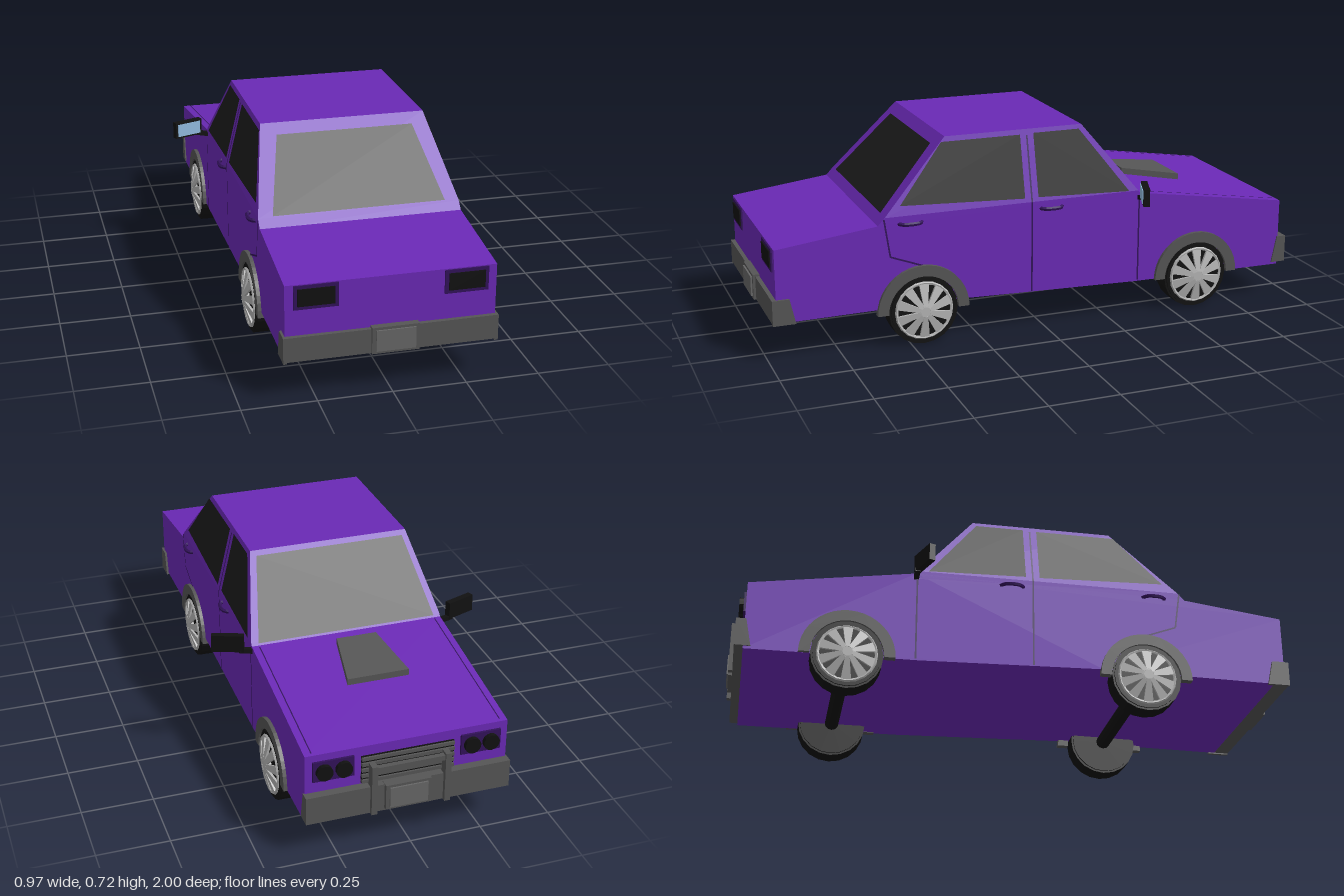
import * as THREE from 'three';

const mat = (color) => new THREE.MeshStandardMaterial({ color, flatShading: true, side: THREE.DoubleSide });

export function createModel() {
  const car = new THREE.Group();
  car.name = 'car';
  const paint = mat(0x6a29b5), seam = mat(0x32125a), glass = mat(0x1c1c1c), grey = mat(0x555555);
  const lightGrey = mat(0x666666), black = mat(0x111111), metal = mat(0xb4b4b4), mirrorBlue = mat(0x8fb8dc);

  const add = (name, geometry, material, parent = car) => {
    const mesh = new THREE.Mesh(geometry, material);
    mesh.name = name;
    parent.add(mesh);
    return mesh;
  };
  // Box given by its limits
  const box = (name, m, x0, x1, y0, y1, z0, z1, parent = car) => {
    const b = add(name, new THREE.BoxGeometry(x1 - x0, y1 - y0, z1 - z0), m, parent);
    b.position.set((x0 + x1) / 2, (y0 + y1) / 2, (z0 + z1) / 2);
    return b;
  };
  // Side profile in (z, y), extruded across x
  const across = (shape, x0, x1) => new THREE.ExtrudeGeometry(shape, { depth: x1 - x0, bevelEnabled: false, curveSegments: 10 })
    .rotateY(-Math.PI / 2).translate(x1, 0, 0);
  const profile = (pts) => new THREE.Shape(pts.map(([z, y]) => new THREE.Vector2(z, y)));
  // Flat four-cornered panel
  const panel = (name, m, pts) => {
    const g = new THREE.BufferGeometry();
    g.setAttribute('position', new THREE.Float32BufferAttribute(pts.flat(), 3));
    g.setIndex([0, 1, 2, 0, 2, 3]);
    g.computeVertexNormals();
    return add(name, g, m);
  };
  // Stack of rectangles [y, halfWidth, zFront, zRear] joined into a closed solid
  const stack = (sections) => {
    const pos = sections.flatMap(([y, w, f, r]) => [-w, y, r, w, y, r, w, y, f, -w, y, f]);
    const idx = [0, 2, 1, 0, 3, 2];
    for (let s = 0; s < sections.length - 1; s++)
      for (let i = 0; i < 4; i++) {
        const a = s * 4 + i, b = s * 4 + (i + 1) % 4;
        idx.push(a, b, b + 4, a, b + 4, a + 4);
      }
    const t = (sections.length - 1) * 4;
    idx.push(t, t + 1, t + 2, t, t + 2, t + 3);
    const g = new THREE.BufferGeometry();
    g.setAttribute('position', new THREE.Float32BufferAttribute(pos, 3));
    g.setIndex(idx);
    g.computeVertexNormals();
    return g;
  };

  // Slopes of the cabin faces by height
  const sideX = (y) => 0.35 - (y - 0.47) * 0.24;
  const frontZ = (y) => -0.37 + (y - 0.46) * 0.21 / 0.26;
  const rearZ = (y) => 0.61 - (y - 0.445) * 0.26 / 0.275;
  const hoodY = (z) => 0.46 + (z + 0.37) * 0.09 / 0.58;

  // Lower body and cabin
  add('body', across(profile([[0.97, 0.14], [0.97, 0.40], [0.60, 0.445], [-0.37, 0.46], [-0.95, 0.37],
    [-0.95, 0.12], [-0.35, 0.125], [0.3, 0.145]]), -0.35, 0.35), paint);
  add('cabin', stack([0.44, 0.47, 0.72].map((y) => [y, Math.min(0.35, sideX(y)), frontZ(y), rearZ(y)])), paint);

  // Front and rear glass
  const screen = (name, zAt, off, y0, w0, y1, w1) => panel(name, glass, [
    [-w0, y0, zAt(y0) + off], [w0, y0, zAt(y0) + off], [w1, y1, zAt(y1) + off], [-w1, y1, zAt(y1) + off]]);
  screen('windshield', frontZ, -0.005, 0.468, 0.325, 0.706, 0.272);
  screen('rearWindow', rearZ, 0.005, 0.475, 0.30, 0.688, 0.24);

  // Hood scoop, wider and lower at the nose
  const scoop = add('hoodScoop', new THREE.BoxGeometry(2, 1, 1), grey);
  const sp = scoop.geometry.attributes.position;
  for (let i = 0; i < sp.count; i++) {
    const nose = sp.getZ(i) < 0, z = nose ? -0.65 : -0.43;
    sp.setXYZ(i, -0.01 + sp.getX(i) * (nose ? 0.11 : 0.072), hoodY(z) + (sp.getY(i) > 0 ? 0.023 : -0.01), z);
  }

  // Hood seams
  for (const s of [-1, 1])
    panel('hoodSeam', seam, [[s * 0.323, hoodY(-0.94) + 0.002, -0.94], [s * 0.327, hoodY(-0.94) + 0.002, -0.94],
      [s * 0.327, hoodY(-0.38) + 0.002, -0.38], [s * 0.323, hoodY(-0.38) + 0.002, -0.38]]);

  // Bumpers and plates
  add('frontBumper', across(profile([[-0.98, 0.13], [-0.98, 0.23], [-0.945, 0.23], [-0.925, 0.13]]), -0.355, 0.355), grey);
  add('rearBumper', across(profile([[0.985, 0.14], [0.985, 0.225], [0.95, 0.225], [0.93, 0.14]]), -0.355, 0.355), grey);
  for (const s of [-1, 1]) {
    add('rearBumperEnd', across(profile([[0.985, 0.135], [0.985, 0.225], [0.925, 0.225], [0.905, 0.135]]),
      s * 0.352 - 0.006, s * 0.352 + 0.006), grey);
  }
  for (const s of [-1, 1]) {
    const z = (a, b) => [Math.min(s * a, s * b), Math.max(s * a, s * b)];
    box('plateFrame', grey, -0.07, 0.088, 0.14, 0.232, ...z(0.96, 0.994));
    box('plate', lightGrey, -0.057, 0.075, 0.15, 0.223, ...z(0.97, 1));
  }

  // Grille with slats, guard posts and crossbar
  box('grille', black, -0.16, 0.16, 0.235, 0.335, -0.956, -0.94);
  for (let i = 0; i < 5; i++) box('grilleSlat', grey, -0.16, 0.16, 0.237 + i * 0.021, 0.249 + i * 0.021, -0.963, -0.94);
  box('guardBar', grey, -0.125, 0.125, 0.285, 0.303, -0.988, -0.97);

  for (const s of [-1, 1]) {
    const span = (a, b) => [Math.min(s * a, s * b), Math.max(s * a, s * b)];
    box('guardPost', grey, ...span(0.117, 0.137), 0.13, 0.312, -0.995, -0.945);

    // Headlights: bezel with two round lamps
    box('headlightBezel', seam, ...span(0.185, 0.325), 0.272, 0.345, -0.958, -0.94);
    for (const x of [0.222, 0.288])
      add('headlamp', new THREE.CylinderGeometry(0.028, 0.028, 0.03, 14).rotateX(Math.PI / 2), black)
        .position.set(s * x, 0.308, -0.958);

    // Tail lights
    box('tailLightFrame', seam, ...span(0.175, 0.322), 0.315, 0.397, 0.96, 0.975);
    box('tailLight', black, ...span(0.188, 0.31), 0.327, 0.386, 0.96, 0.979);

    // Side windows
    const side = (name, m, pts) => panel(name, m, pts.map(([z, y]) => [s * (Math.min(0.35, sideX(y)) + 0.003), y, z]));
    side('rearSideWindow', glass, [[0.53, 0.505], [0.365, 0.703], [0.075, 0.703], [0.075, 0.485]]);
    side('frontSideWindow', glass, [[0.025, 0.705], [-0.148, 0.705], [-0.325, 0.472], [0.025, 0.485]]);

    // Door seams
    const seams = [[[0.05, 0.70], [0.05, 0.47]], [[0.05, 0.47], [0.05, 0.14]], [[-0.365, 0.45], [-0.365, 0.13]],
      [[0.59, 0.465], [0.57, 0.33]], [[0.57, 0.33], [0.44, 0.28]]];
    for (const [[z0, y0], [z1, y1]] of seams) {
      const l = Math.hypot(z1 - z0, y1 - y0), dz = (y1 - y0) / l * 0.003, dy = -(z1 - z0) / l * 0.003;
      side('doorSeam', seam, [[z0 + dz, y0 + dy], [z1 + dz, y1 + dy], [z1 - dz, y1 - dy], [z0 - dz, y0 - dy]]);
    }

    // Door handles: shallow bowed grips
    for (const z of [0.495, -0.025]) {
      const curve = new THREE.CatmullRomCurve3([[0.345, -0.042], [0.362, -0.03], [0.368, 0], [0.362, 0.03], [0.345, 0.042]]
        .map(([x, d]) => new THREE.Vector3(s * x, 0.443, z + d)));
      add('doorHandle', new THREE.TubeGeometry(curve, 8, 0.007, 5), seam);
    }

    // Door mirrors, glass facing the rear
    const mirror = new THREE.Group();
    mirror.name = 'doorMirror';
    mirror.position.set(s * 0.43, 0.48, -0.35);
    mirror.rotation.y = -s * 0.36;
    car.add(mirror);
    box('mirrorCase', black, -0.056, 0.056, -0.031, 0.031, -0.012, 0.011, mirror);
    box('mirrorGlass', mirrorBlue, -0.048, 0.048, -0.024, 0.024, 0, 0.014, mirror);
    const arm = box('mirrorArm', black, ...span(0.34, 0.395), 0.44, 0.456, -0.378, -0.36);
    arm.rotation.z = s * 0.2;
  }

  // Wheel with outer side towards +x: tyre, dished spokes and hub
  const spokeGeo = new THREE.BoxGeometry(0.008, 0.085, 0.036);
  const p = spokeGeo.attributes.position;
  for (let i = 0; i < p.count; i++) if (p.getY(i) < 0) p.setZ(i, p.getZ(i) * 0.4);
  const makeWheel = () => {
    const wheel = new THREE.Group();
    wheel.name = 'wheel';
    add('tyre', new THREE.CylinderGeometry(0.125, 0.125, 0.07, 20).rotateZ(Math.PI / 2), black, wheel);
    add('tyreTread', new THREE.CylinderGeometry(0.118, 0.118, 0.08, 20).rotateZ(Math.PI / 2), black, wheel);
    add('rimRing', new THREE.TorusGeometry(0.1, 0.006, 5, 20).rotateY(Math.PI / 2), metal, wheel).position.x = 0.041;
    for (let i = 0; i < 10; i++) {
      const pivot = new THREE.Group();
      pivot.name = 'spokePivot';
      pivot.rotation.x = i * Math.PI / 5;
      wheel.add(pivot);
      const spoke = add('spoke', spokeGeo, metal, pivot);
      spoke.position.set(0.05, 0.058, 0);
      spoke.rotation.z = 0.22;
    }
    add('hub', new THREE.CylinderGeometry(0.022, 0.022, 0.025, 10).rotateZ(Math.PI / 2), metal, wheel).position.x = 0.05;
    return wheel;
  };

  for (const z of [-0.6, 0.455]) {
    add('axle', new THREE.CylinderGeometry(0.026, 0.026, 0.6, 12).rotateZ(Math.PI / 2), black).position.set(0, 0.125, z);
    for (const s of [-1, 1]) {
      const wheel = makeWheel();
      wheel.position.set(s * 0.32, 0.125, z);
      if (s < 0) wheel.rotation.y = Math.PI;
      car.add(wheel);
      // Fender flare
      const arch = new THREE.Shape();
      arch.absarc(z, 0.122, 0.166, 0, Math.PI, false);
      arch.absarc(z, 0.122, 0.127, Math.PI, 0, true);
      add('wheelArch', across(arch, s * 0.35 - 0.013, s * 0.35 + 0.013), grey);
    }
  }
  return car;
}
